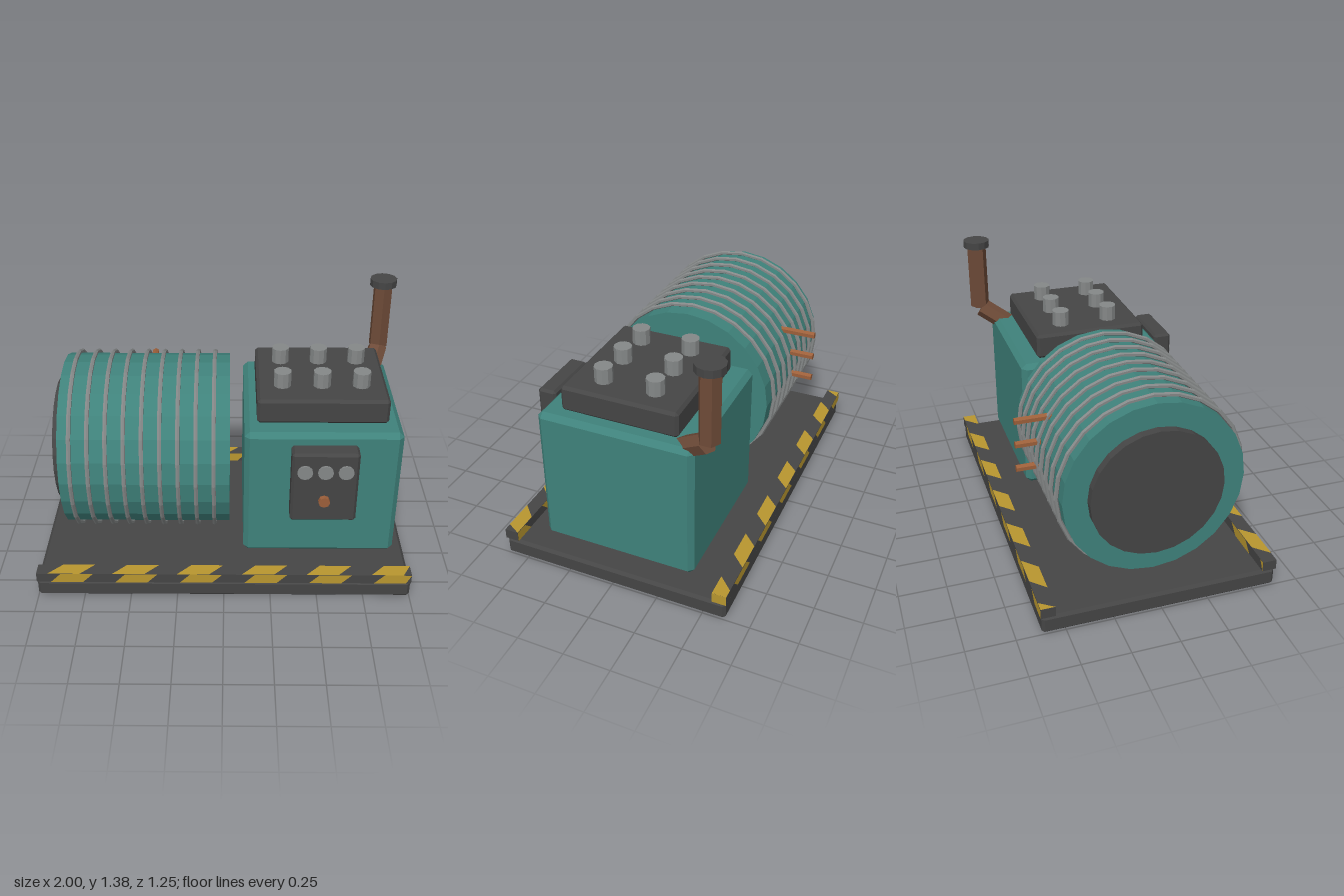
import * as THREE from 'three';
import { ConvexGeometry } from 'three/addons/geometries/ConvexGeometry.js';

export function createModel() {
  const model = new THREE.Group();
  model.name = 'generator';

  const material = (name, color) => {
    const m = new THREE.MeshStandardMaterial({ color });
    m.name = name;
    return m;
  };
  const teal = material('tealPaint', 0x3f827b);
  const dark = material('darkIron', 0x454545);
  const steel = material('steel', 0x858888);
  const yellow = material('hazardYellow', 0xb8962f);
  const rust = material('rustyPipe', 0x6e4b38);
  const copper = material('copper', 0x9c5f3a);

  const add = (name, geometry, mat, x = 0, y = 0, z = 0) => {
    const mesh = new THREE.Mesh(geometry, mat);
    mesh.name = name;
    mesh.position.set(x, y, z);
    model.add(mesh);
    return mesh;
  };

  // Facet a geometry so each side is flat
  const flat = (geometry) => {
    const g = geometry.toNonIndexed();
    g.computeVertexNormals();
    return g;
  };

  // Box with chamfered edges and corners, given by its limits
  const chamferBox = (name, mat, [x0, x1], [y0, y1], [z0, z1], c) => {
    const h = [(x1 - x0) / 2, (y1 - y0) / 2, (z1 - z0) / 2];
    const points = [];
    for (const sx of [-1, 1]) for (const sy of [-1, 1]) for (const sz of [-1, 1]) {
      for (let axis = 0; axis < 3; axis++) {
        const p = h.map((v, i) => (i === axis ? v : v - c));
        points.push(new THREE.Vector3(p[0] * sx, p[1] * sy, p[2] * sz));
      }
    }
    return add(name, new ConvexGeometry(points), mat, (x0 + x1) / 2, (y0 + y1) / 2, (z0 + z1) / 2);
  };

  // Faceted cylinder running between two points
  const rod = (name, mat, a, b, r, sides) => {
    const from = new THREE.Vector3(...a), to = new THREE.Vector3(...b);
    const dir = to.clone().sub(from);
    const mesh = add(name, flat(new THREE.CylinderGeometry(r, r, dir.length(), sides)), mat);
    mesh.position.copy(from).add(to).multiplyScalar(0.5);
    mesh.quaternion.setFromUnitVectors(new THREE.Vector3(0, 1, 0), dir.normalize());
    return mesh;
  };

  // Base plate
  chamferBox('basePlate', dark, [-1, 1], [0, 0.098], [-0.62, 0.62], 0.015);

  // Row of slanted stripes on a strip of the given height; first stripe starts at x = start
  const stripes = (name, start, height, place, flip) => {
    const period = 0.345, width = 0.172;
    const shapes = [];
    const clip = (x) => Math.max(-1, Math.min(1, x));
    for (let x = start - period; x < 1; x += period) {
      if (x + width + height <= -1) continue;
      const corners = [[x, 0], [x + width, 0], [x + width + height, height], [x + height, height]];
      shapes.push(new THREE.Shape(corners.map(([u, v]) => new THREE.Vector2(clip(u), v))));
    }
    const g = new THREE.ShapeGeometry(shapes);
    if (flip) { // face the other way while keeping the slant
      const index = g.index.array;
      for (let i = 0; i < index.length; i += 3) [index[i], index[i + 1]] = [index[i + 1], index[i]];
      g.computeVertexNormals();
    }
    place(add(name, g, yellow));
  };

  // Hazard rails along the front and back edges
  const railRows = [
    { name: 'front', z: 0.5875, top: -0.94, plus: -0.925, minus: -0.85 },
    { name: 'back', z: -0.5875, top: -0.85, plus: -0.785, minus: -0.71 },
  ];
  for (const r of railRows) {
    add(r.name + 'Rail', new THREE.BoxGeometry(2, 0.055, 0.075), dark, 0, 0.1255, r.z);
    stripes(r.name + 'RailTopStripes', r.top, 0.075, (m) => {
      m.rotation.x = -Math.PI / 2;
      m.position.set(0, 0.1545, r.z + 0.0375);
    });
    stripes(r.name + 'RailForwardStripes', r.plus, 0.055, (m) => m.position.set(0, 0.098, r.z + 0.039));
    stripes(r.name + 'RailRearStripes', r.minus, 0.055, (m) => m.position.set(0, 0.098, r.z - 0.039), true);
  }
  add('backRailEnd', new THREE.BoxGeometry(0.002, 0.055, 0.075), yellow, 1, 0.1255, -0.5875);

  // Drum with its end cover and steel hoops
  const drumY = 0.625;
  const disc = (name, mat, x0, x1, r) => {
    const g = flat(new THREE.CylinderGeometry(r, r, x1 - x0, 24));
    g.rotateZ(Math.PI / 2);
    return add(name, g, mat, (x0 + x1) / 2, drumY, 0);
  };
  disc('drum', teal, -0.86, 0.03, 0.47);
  disc('drumEndCover', dark, -0.905, -0.85, 0.345);
  for (let i = 0; i < 9; i++) {
    const hoop = flat(new THREE.TorusGeometry(0.483, 0.012, 6, 24));
    hoop.rotateY(Math.PI / 2);
    add('drumHoop', hoop, steel, -0.797 + i * 0.093, drumY, 0);
  }

  // Copper pipes at the back of the drum
  for (const y of [0.865, 0.73, 0.592]) {
    rod('copperPipe', copper, [-0.417, y, -0.36], [-0.417, y, -0.587], 0.02, 6);
  }

  // Engine block and head with six plugs
  chamferBox('engineBlock', teal, [0.105, 0.925], [0.142, 0.9], [-0.415, 0.415], 0.027);
  chamferBox('engineHead', dark, [0.17, 0.855], [0.9, 1.038], [-0.31, 0.31], 0.015);
  for (const x of [0.305, 0.513, 0.72]) for (const z of [-0.138, 0.138]) {
    rod('headPlug', steel, [x, 1.02, z], [x, 1.12, z], 0.047, 10);
  }

  // Control panel with three gauges and a button
  chamferBox('controlPanel', dark, [0.343, 0.685], [0.455, 0.867], [0.448, 0.55], 0.013);
  for (const x of [0.41, 0.514, 0.618]) {
    rod('gauge', steel, [x, 0.762, 0.54], [x, 0.762, 0.56], 0.04, 12);
  }
  rod('startButton', copper, [0.514, 0.59, 0.54], [0.514, 0.59, 0.575], 0.03, 8);

  // Exhaust elbow, stack and cap
  rod('exhaustElbow', rust, [0.835, 0.855, -0.33], [0.892, 0.955, -0.475], 0.055, 6);
  rod('exhaustStack', rust, [0.895, 0.968, -0.485], [0.895, 1.345, -0.485], 0.055, 6);
  rod('exhaustCap', dark, [0.895, 1.34, -0.485], [0.895, 1.38, -0.485], 0.075, 12);

  return model;
}
